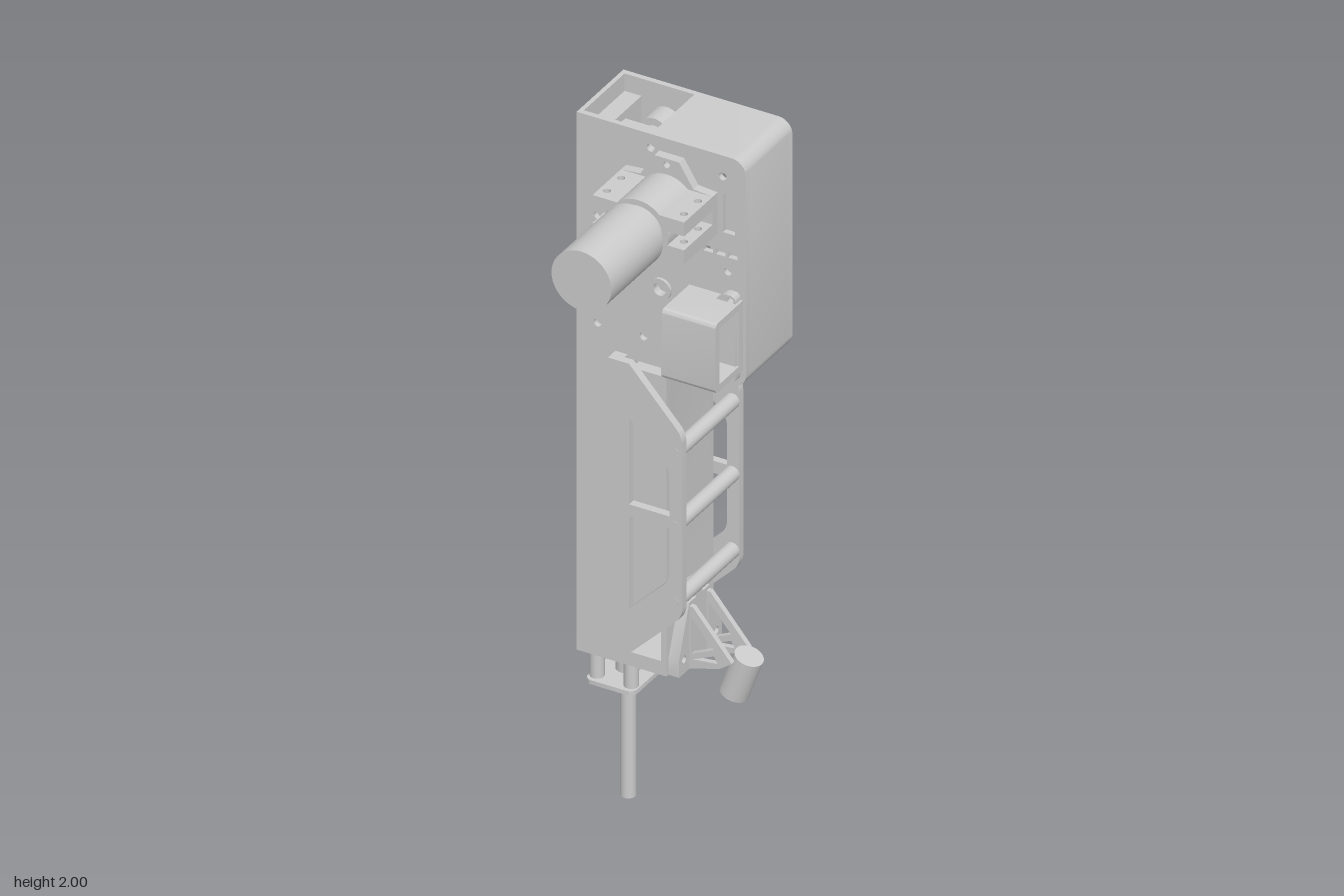
import * as THREE from 'three';
import { toCreasedNormals } from 'three/addons/utils/BufferGeometryUtils.js';

const grey = new THREE.MeshStandardMaterial({ color: 0xcccccc, side: THREE.DoubleSide });
const V = (x, y) => new THREE.Vector2(x, y);

// Polyline through [x, y, cornerRadius] points
function rounded(pts, closed = true) {
  const out = [];
  pts.forEach(([x, y, r], i) => {
    const n = pts.length;
    if (!r || (!closed && (i === 0 || i === n - 1))) return out.push(V(x, y));
    const c = V(x, y), a = pts[(i + n - 1) % n], b = pts[(i + 1) % n];
    const p = V(a[0], a[1]).sub(c).setLength(r).add(c);
    const q = V(b[0], b[1]).sub(c).setLength(r).add(c);
    const k = 0.55;
    out.push(...new THREE.CubicBezierCurve(p, p.clone().lerp(c, k), q.clone().lerp(c, k), q).getPoints(8));
  });
  return out;
}
const circle = (x, y, r) => new THREE.Path().absarc(x, y, r, 0, Math.PI * 2, true);
const rect = (x0, y0, x1, y1) => new THREE.Path([V(x0, y0), V(x0, y1), V(x1, y1), V(x1, y0)]);
const poly = (pts) => new THREE.Path(rounded(pts));

export function createModel() {
  const root = new THREE.Group();

  const add = (name, geo, parent = root) => {
    const m = new THREE.Mesh(geo, grey);
    m.name = name;
    parent.add(m);
    return m;
  };
  // Box from its two extreme corners
  const box = (name, x0, x1, y0, y1, z0, z1) => {
    const m = add(name, new THREE.BoxGeometry(x1 - x0, y1 - y0, z1 - z0));
    m.position.set((x0 + x1) / 2, (y0 + y1) / 2, (z0 + z1) / 2);
    return m;
  };
  // Shape in x,y extruded from z0 to z1
  const slab = (name, pts, holes, z0, z1) => {
    const s = new THREE.Shape(pts);
    s.holes = holes;
    const g = new THREE.ExtrudeGeometry(s, { depth: z1 - z0, bevelEnabled: false, curveSegments: 12 });
    g.translate(0, 0, z0);
    return add(name, toCreasedNormals(g, 0.5));
  };
  const cylZ = (name, x, y, r, z0, z1, seg = 40) => {
    const m = add(name, new THREE.CylinderGeometry(r, r, z1 - z0, seg));
    m.rotation.x = Math.PI / 2;
    m.position.set(x, y, (z0 + z1) / 2);
    return m;
  };
  const cylY = (name, x, z, r, y0, y1, seg = 24) => {
    const m = add(name, new THREE.CylinderGeometry(r, r, y1 - y0, seg));
    m.position.set(x, (y0 + y1) / 2, z);
    return m;
  };

  // Housing: two perforated side plates
  const outline = [[-0.24, 0.45], [0.015, 0.45], [0.015, 1.345, 0.04], [0.24, 1.345, 0.04], [0.24, 2, 0.04], [-0.24, 2]];
  const screwHoles = [[-0.03, 1.96], [0.175, 1.94], [-0.18, 1.72], [-0.05, 1.72], [0.19, 1.67], [-0.13, 1.58],
    [-0.18, 1.41], [-0.05, 1.41], [0.15, 1.385], [0.21, 1.385]];
  const plateHoles = () => [
    ...screwHoles.map(([x, y]) => circle(x, y, 0.011)),
    circle(0, 1.565, 0.018),
    rect(0.175, 1.78, 0.21, 1.89),
    ...[0, 1, 2, 3].map(i => rect(0.085 + i * 0.035, 1.711, 0.112 + i * 0.035, 1.728)),
    rect(-0.09, 0.49, 0, 1.335),
  ];
  slab('frontPlate', rounded(outline), plateHoles(), -0.105, -0.09);
  const mountHoles = [0, 1, 2, 3, 4, 5].map(i => Math.PI / 6 + i * Math.PI / 3)
    .map(a => circle(0.03 + 0.115 * Math.cos(a), 1.83 + 0.115 * Math.sin(a), 0.01));
  slab('backPlate', rounded(outline), [...plateHoles(), circle(0.03, 1.83, 0.07), ...mountHoles], -0.32, -0.305);

  // Wall following the right edge, open above the column
  const t = 0.012;
  const outer = rounded([[-0.03, 2], [0.24, 2, 0.04], [0.24, 1.345, 0.04], [0.015, 1.345, 0.04], [0.015, 0.45], [-0.24, 0.45]], false);
  const inner = rounded([[-0.03, 2 - t], [0.24 - t, 2 - t, 0.03], [0.24 - t, 1.345 + t, 0.03], [0.015 - t, 1.345 + t, 0.05],
    [0.015 - t, 0.45 + t], [-0.24, 0.45 + t]], false);
  slab('edgeWall', [...outer, ...inner.reverse()], [], -0.305, -0.105);
  // Outer column wall with a narrow slot
  const wall = slab('slottedWall', [V(0.09, 0.45), V(0.32, 0.45), V(0.32, 2), V(0.09, 2)], [rect(0.2, 0.84, 0.212, 1.86)], -0.24, -0.228);
  wall.geometry.rotateY(Math.PI / 2).translate(0, 0, 0);
  box('innerChannel', -0.228, -0.18, 0.47, 1.95, -0.305, -0.11);
  box('columnCore', -0.1, 0.005, 0.61, 1.29, -0.29, -0.12);

  // Winding gear inside the open top
  cylZ('idlerShaft', -0.105, 1.9, 0.025, -0.305, -0.105);
  cylZ('idlerDrum', -0.105, 1.9, 0.045, -0.298, -0.235);
  const teeth = [];
  for (let i = 0; i < 32; i++) {
    const r = i % 4 < 2 ? 0.047 : 0.038, a = i / 32 * Math.PI * 2;
    teeth.push(V(-0.105 + r * Math.cos(a), 1.9 + r * Math.sin(a)));
  }
  slab('idlerSprocket', teeth, [], -0.165, -0.14);
  box('carriageBlock', -0.178, -0.07, 1.86, 1.93, -0.222, -0.18);
  cylZ('carriagePin', -0.16, 1.87, 0.015, -0.285, -0.13);

  // Pivot bushings on both plates
  for (const [z0, z1] of [[-0.09, -0.082], [-0.323, -0.315]])
    slab('bushing', new THREE.Path().absarc(0, 1.565, 0.03, 0, Math.PI * 2).getPoints(24), [circle(0, 1.565, 0.018)], z0, z1);

  // Motor with mounting plate and split clamp
  const mx = 0.03, my = 1.83;
  const quarter = [[0.13, 0.06], [0.075, 0.065], [0.035, 0.13]];
  const plate = [...quarter, ...quarter.map(([x, y]) => [-x, y]).reverse(),
    ...quarter.map(([x, y]) => [-x, -y]), ...quarter.map(([x, y]) => [x, -y]).reverse()];
  slab('motorPlate', plate.map(([x, y]) => V(mx + x, my + y)),
    [circle(mx, my + 0.112, 0.009), circle(mx, my - 0.112, 0.009)], -0.09, -0.065);
  cylZ('gearbox', mx, my, 0.085, -0.065, 0.075);
  cylZ('motorNeck', mx, my, 0.069, 0.075, 0.1);
  cylZ('motorBody', mx, my, 0.085, 0.1, 0.355);
  cylZ('motorShaft', mx, my, 0.04, -0.3, -0.09);
  for (const s of [-1, 1]) for (const y of [1.77, 1.85]) {
    const xs = [0.06, 0.13].map(x => mx + s * x);
    const ear = slab('clampEar', [V(xs[0], -0.075), V(xs[1], -0.075), V(xs[1], 0.065), V(xs[0], 0.065)],
      [-0.04, 0.03].map(v => circle(mx + s * 0.109, v, 0.01)), 0, 0.04);
    ear.rotation.x = -Math.PI / 2;
    ear.position.y = y;
  }

  // Open cable sleeve on the front
  const sleeve = slab('cableSleeve', rounded([[-0.045, 1.4, 0.012], [0.09, 1.4], [0.09, 1.6], [-0.045, 1.6, 0.012]]),
    [poly([[-0.025, 1.42], [-0.025, 1.58], [0.07, 1.58], [0.07, 1.42]])], 0.08, 0.232);
  sleeve.geometry.rotateY(Math.PI / 2);
  slab('sleeveBase', rounded([[0.13, 1.37, 0.015], [0.225, 1.37, 0.015], [0.225, 1.62, 0.015], [0.19, 1.62, 0.01], [0.13, 1.56]]),
    [circle(0.15, 1.385, 0.009), circle(0.21, 1.385, 0.009), circle(0.21, 1.605, 0.009)], -0.09, -0.065);

  // Ladder guard: two side frames joined by rungs
  const guard = [[-0.13, 1.345], [-0.07, 1.345], [0.08, 1.18, 0.02], [0.08, 0.66, 0.02], [-0.09, 0.49], [-0.13, 0.49]];
  const rungs = [1.13, 0.92, 0.7];
  for (const [z0, z1, r0, r1] of [[-0.075, -0.053, -0.09, -0.075], [-0.355, -0.335, -0.335, -0.32]]) {
    slab('guardFrame', rounded(guard), [
      poly([[-0.07, 1.19], [0.045, 1.075, 0.02], [0.045, 0.94], [-0.07, 0.94]]),
      poly([[-0.07, 0.905], [0.045, 0.905], [0.045, 0.755, 0.02], [-0.07, 0.64]]),
    ], z0, z1);
    box('guardRib', -0.13, -0.095, 0.49, 1.345, r0, r1);
    rungs.forEach(y => cylZ('rungBolt', 0.06, y, 0.011, z0 - 0.002 * (z0 < -0.2 ? 0 : -1), z1 + 0.001, 16));
  }
  rungs.forEach(y => cylZ('rung', 0.06, y, 0.021, -0.335, -0.075, 24));

  // Lamp bracket: foot plate, trussed gussets and tilted barrel
  const foot = slab('bracketFoot', [[0.1, 0.45], [0.31, 0.45], [0.31, 0.5], [0.25, 0.64], [0.15, 0.64], [0.1, 0.5]].map(p => V(...p)),
    [circle(0.125, 0.49, 0.01), circle(0.285, 0.49, 0.01)], 0.015, 0.045);
  foot.geometry.rotateY(Math.PI / 2);
  for (const z of [-0.25, -0.165])
    slab('bracketGusset', [[0.04, 0.45], [0.13, 0.475], [0.165, 0.5], [0.055, 0.63], [0.04, 0.63]].map(p => V(...p)), [
      poly([[0.05, 0.6], [0.115, 0.525], [0.05, 0.495]]),
      poly([[0.055, 0.48], [0.115, 0.507], [0.125, 0.488]]),
    ], z, z + 0.015);
  box('bracketSpine', 0.015, 0.045, 0.57, 0.68, -0.215, -0.185);
  const barrel = cylY('lampBarrel', 0, 0, 0.038, -0.062, 0.062, 32);
  barrel.position.set(0.165, 0.445, -0.2);
  barrel.rotation.z = -0.35;

  // Plunger rod with its guide collar
  cylY('plungerRod', -0.157, -0.2, 0.02, 0, 0.6);
  cylY('rodGuide', -0.157, -0.2, 0.032, 0.365, 0.45);
  const collar = slab('collarPlate', rounded([[-0.225, 0.1, 0.02], [-0.085, 0.1, 0.02], [-0.085, 0.305, 0.02], [-0.225, 0.305, 0.02]]),
    [circle(-0.157, 0.2, 0.02)], 0, 0.012);
  collar.geometry.rotateX(-Math.PI / 2);
  collar.position.y = 0.355;
  for (const x of [-0.205, -0.108]) for (const z of [-0.13, -0.275])
    cylY('collarPost', x, z, 0.019, 0.36, 0.455, 20);

  return root;
}
